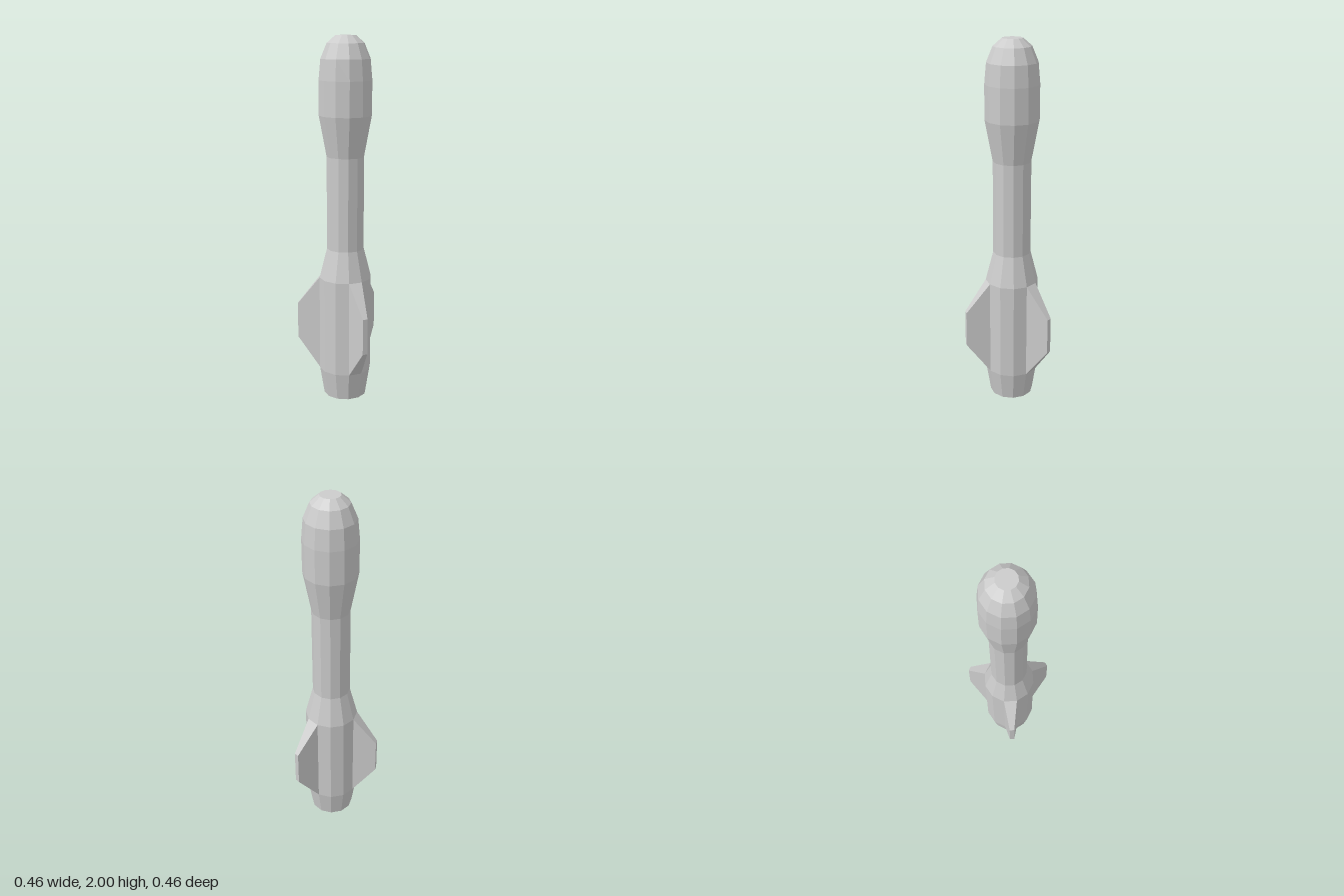
import * as THREE from 'three';

const SIDES = 12;
const BODY_RADIUS = 0.144;

// Radial fin: a box whose outer end is narrowed and shortened
function finGeometry() {
  const inner = { r: BODY_RADIUS * Math.cos(Math.PI / SIDES), half: BODY_RADIUS * Math.sin(Math.PI / SIDES), low: 0.155, high: 0.69 };
  const outer = { r: 0.267, half: 0.0135, low: 0.325, high: 0.525 };
  const geometry = new THREE.BoxGeometry(1, 1, 1);
  const p = geometry.attributes.position;
  for (let i = 0; i < p.count; i++) {
    const end = p.getX(i) > 0 ? outer : inner;
    p.setXYZ(i, end.r, p.getY(i) > 0 ? end.high : end.low, Math.sign(p.getZ(i)) * end.half);
  }
  geometry.computeVertexNormals();
  return geometry;
}

export function createModel() {
  const model = new THREE.Group();
  model.name = 'finnedRocket';
  const material = new THREE.MeshStandardMaterial({ color: 0xcccccc, flatShading: true });

  // Body: recessed tail, waisted shaft and blunt nose in one profile
  const profile = [
    [0, 0.04], [0.09, 0.04], [0.119, 0], [BODY_RADIUS, 0.155], [BODY_RADIUS, 0.69],
    [0.102, 0.855], [0.102, 1.365], [0.143, 1.585], [0.143, 1.77],
    [0.133, 1.88], [0.1, 1.96], [0.054, 2], [0, 2],
  ].map(([r, y]) => new THREE.Vector2(r, y));
  const body = new THREE.Mesh(new THREE.LatheGeometry(profile, SIDES), material);
  body.name = 'body';
  model.add(body);

  // Three fins, each growing out of one facet of the body
  const geometry = finGeometry();
  for (let i = 0; i < 3; i++) {
    const fin = new THREE.Mesh(geometry, material);
    fin.name = `fin${i + 1}`;
    fin.rotation.y = -THREE.MathUtils.degToRad(75 + i * 120);
    model.add(fin);
  }

  // Shift the axis so the fin span is centred
  for (const part of model.children) part.position.set(0.031, 0, -0.033);
  return model;
}
